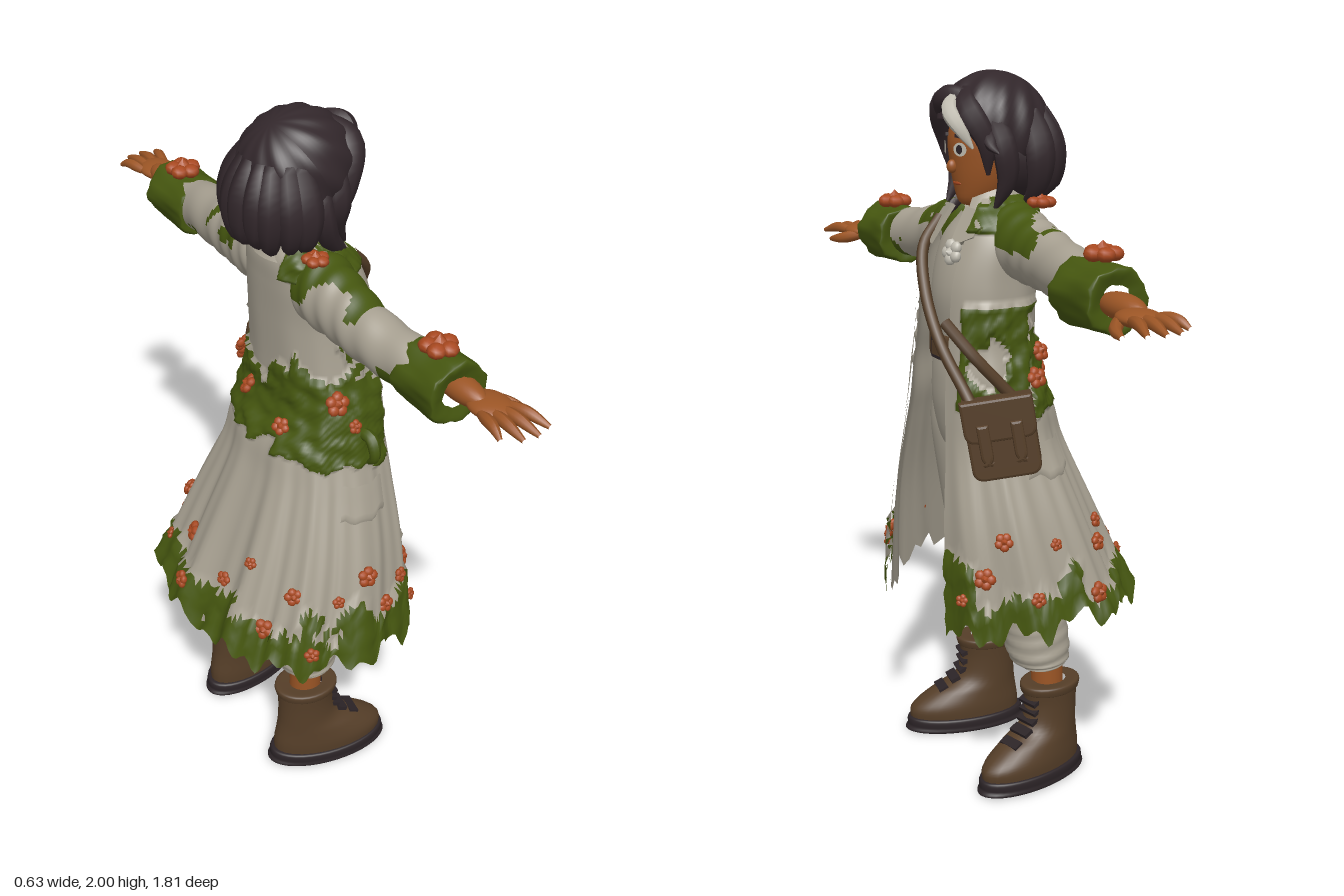
import * as THREE from 'three';

const mat = (name, color) => Object.assign(new THREE.MeshStandardMaterial({ color }), { name });
const V = (x, y, z) => new THREE.Vector3(x, y, z);
const wave = (p) => (Math.sin(p.x * 23 + 1.5 * Math.sin(p.y * 27)) + Math.sin(p.y * 31 + p.z * 19) + Math.sin(p.z * 37 - p.x * 17)) / 3
  + 0.25 * Math.sin(p.x * 71 + p.y * 53) * Math.sin(p.z * 67 - p.y * 47);

// Surface from a rule point(u, v); pick(p) chooses the material index of each face
function grid(nu, nv, closed, point, pick = () => 0, inward = false) {
  const pos = [], lists = [[], []], cols = closed ? nu : nu + 1;
  for (let j = 0; j <= nv; j++) for (let i = 0; i < cols; i++) pos.push(...point(i / nu, j / nv).toArray());
  const at = (k) => V(pos[k * 3], pos[k * 3 + 1], pos[k * 3 + 2]);
  for (let j = 0; j < nv; j++) for (let i = 0; i < nu; i++) {
    const a = j * cols + i, b = j * cols + (i + 1) % cols, c = b + cols, d = a + cols;
    lists[pick(at(a).add(at(c)).multiplyScalar(0.5))].push(...(inward ? [a, c, b, a, d, c] : [a, b, c, a, c, d]));
  }
  const g = new THREE.BufferGeometry();
  g.setAttribute('position', new THREE.Float32BufferAttribute(pos, 3));
  g.setIndex(lists.flat());
  g.addGroup(0, lists[0].length, 0);
  g.addGroup(lists[0].length, lists[1].length, 1);
  g.computeVertexNormals();
  return g;
}

// Smooth body through elliptical rings [x, y, z, a, b], in rising order along the axis
function limb(rows, axis = 'y', { n = 28, m = 28, pick, bump = () => 0 } = {}) {
  const c = new THREE.CatmullRomCurve3(rows.map((r) => V(r[0], r[1], r[2])), false, 'catmullrom');
  const s = new THREE.CatmullRomCurve3(rows.map((r) => V(r[3], r[4], 0)), false, 'catmullrom');
  return grid(n, m, true, (u, v) => {
    const p = c.getPoint(v), r = s.getPoint(v), t = u * Math.PI * 2, k = 1 + bump(t, v);
    const a = Math.max(0, r.x) * Math.sin(t) * k, b = Math.max(0, r.y) * Math.cos(t) * k;
    return axis === 'y' ? p.add(V(a, 0, b)) : p.add(V(0, -a, b));
  }, pick);
}

// Tapered tube for hair locks, fingers and vines
function strand(points, r, tip = 0.15, n = 8) {
  const curve = new THREE.CatmullRomCurve3(points.map((p) => V(...p)));
  const seg = 14, g = new THREE.TubeGeometry(curve, seg, 1, n), a = g.attributes.position;
  for (let i = 0; i < a.count; i++) {
    const t = Math.floor(i / (n + 1)) / seg, c = curve.getPointAt(t);
    const k = r * (tip + (1 - tip) * Math.sin(Math.PI * (0.18 + 0.82 * t)));
    const p = V().fromBufferAttribute(a, i).sub(c).multiplyScalar(k).add(c);
    a.setXYZ(i, p.x, p.y, p.z);
  }
  g.computeVertexNormals();
  return g;
}

// Coat rings: y, centre x, half width, centre z, half depth, half opening
const coatRows = [[0.55, -0.10, 0.395, 0, 0.305, 0.17], [0.8, -0.10, 0.33, 0.05, 0.25, 0.15], [1.0, -0.10, 0.26, 0.08, 0.2, 0.13],
  [1.1, -0.09, 0.235, 0.09, 0.18, 0.11], [1.2, -0.085, 0.222, 0.11, 0.15, 0.1], [1.3, -0.08, 0.195, 0.11, 0.145, 0.1],
  [1.45, -0.07, 0.18, 0.105, 0.145, 0.1], [1.56, -0.07, 0.175, 0.085, 0.13, 0.1], [1.63, -0.065, 0.14, 0.065, 0.11, 0.085], [1.68, -0.065, 0.075, 0.06, 0.08, 0.06]];
const coatA = new THREE.CatmullRomCurve3(coatRows.map((r) => V(r[0], r[1], r[2])), false, 'catmullrom');
const coatB = new THREE.CatmullRomCurve3(coatRows.map((r) => V(r[3], r[4], r[5])), false, 'catmullrom');

function mossOnCoat(p) {
  const n = wave(p), back = p.z < 0.05;
  if (p.y < 0.65 + 0.11 * n) return 1;
  if (p.x < -0.17 && p.y > 1.08 + 0.03 * n && p.y < 1.36 + 0.08 * n && p.z < 0.19) return 1;
  if (back && p.y > 1.1 + 0.04 * n && p.y < 1.28 + 0.07 * n) return 1;
  if (p.x > 0.06 && p.y > 1.12 && p.y < 1.4 && n > -0.1) return 1;
  return p.y > 1.59 && Math.abs(p.x + 0.065) > 0.07 && n > -0.2 ? 1 : 0;
}
function coatPoint(u, v, off = 0, thick = true) {
  const A = coatA.getPoint(v), B = coatB.getPoint(v), low = 1 - v;
  const a0 = Math.asin(Math.pow(Math.min(1, B.z / A.z), 1 / 0.85));
  const t = a0 + (2 * Math.PI - 2 * a0) * u, s = Math.sin(t), c = Math.cos(t);
  const sq = (q) => Math.sign(q) * Math.pow(Math.abs(q), 0.85);
  const fold = 1 + 0.035 * Math.sin(t * 11) * low * low;
  const hem = (-0.06 * Math.max(0, c) + 0.022 * Math.sin(t * 13) + 0.02 * Math.sin(t * 31 + 1)) * Math.pow(low, 6);
  const at = (o) => V(A.y + (A.z * fold + o) * sq(s), A.x + hem, B.x + (B.y * fold + o) * sq(c));
  const p = at(off);
  return thick && mossOnCoat(p) ? at(off + 0.01 + 0.006 * wave(p.clone().multiplyScalar(3))) : p;
}

export function createModel() {
  const coat = mat('linen', 0xa69f90), moss = mat('moss', 0x45560f), skin = mat('skin', 0x9b5525), hair = mat('hair', 0x32272b);
  const leather = mat('leather', 0x553e28), sole = mat('sole', 0x2c2427), bloom = mat('blossom', 0xa8481f), pale = mat('pale', 0xc2beb2);
  const figure = new THREE.Group();
  const add = (name, geo, m, parent = figure) => {
    const o = new THREE.Mesh(geo, m);
    o.name = name;
    parent.add(o);
    return o;
  };
  const ball = (name, m, p, s, parent) => {
    const o = add(name, new THREE.SphereGeometry(1, 24, 16), m, parent);
    o.position.set(...p); o.scale.set(...s);
    return o;
  };

  // Open coat with lining, pockets and collar
  add('coat', grid(170, 110, false, (u, v) => coatPoint(u, v), mossOnCoat), [coat, moss]);
  add('coatLining', grid(80, 50, false, (u, v) => coatPoint(u, v, -0.008, false), undefined, true), coat);
  for (const u of [0.2, 0.74]) add('pocket', grid(10, 10, false, (a, b) =>
    coatPoint(u + a * 0.1, 0.18 + 0.07 * b, 0.014 * Math.min(1, 5 * b * (1.1 - b) + 0.5), false)), coat);
  const collarMat = coat;
  add('collar', grid(30, 6, false, (u, v) => {
    const t = 0.45 + u * (2 * Math.PI - 0.9), r = 0.115 - 0.045 * v;
    return V(-0.065 + r * Math.sin(t), 1.63 + 0.075 * v, 0.06 + r * Math.cos(t));
  }), collarMat);
  for (const s of [-1, 1]) {
    const tri = new THREE.Shape([[0, 0], [0.07, 0.005], [0.085, -0.07], [0.02, -0.12]].map((q) => new THREE.Vector2(...q)));
    if (s < 0) tri.curves.length = 0, tri.setFromPoints([[0, 0], [-0.02, -0.12], [-0.085, -0.07], [-0.07, 0.005]].map((q) => new THREE.Vector2(...q)));
    const l = add('lapel', new THREE.ExtrudeGeometry(tri, { depth: 0.012, bevelEnabled: false }), coat);
    l.position.set(-0.067 + s * 0.035, 1.645, 0.15);
    l.rotation.set(-0.6, s * 0.25, 0);
  }

  // Sleeves with mossy cuffs
  const mossOnSleeve = (p) => (p.y > 1.555 && Math.abs(p.x + 0.06) < 0.34 && wave(p) > -0.15) || (p.y < 1.5 && Math.abs(p.x + 0.07) > 0.42 && wave(p) > 0.2) ? 1 : 0;
  const crease = (t, v) => 0.03 * Math.sin(v * 40 + 2 * Math.sin(t));
  const pickSleeve = { n: 40, m: 60, pick: mossOnSleeve, bump: crease };
  add('rightSleeve', limb([[-0.6, 1.5, 0.085, 0.07, 0.065], [-0.42, 1.525, 0.055, 0.076, 0.068], [-0.3, 1.55, 0.05, 0.09, 0.075], [-0.2, 1.565, 0.05, 0.1, 0.085], [-0.12, 1.565, 0.06, 0.08, 0.07]], 'x', pickSleeve), [coat, moss]);
  add('leftSleeve', limb([[-0.01, 1.565, 0.06, 0.08, 0.07], [0.07, 1.565, 0.055, 0.1, 0.085], [0.17, 1.55, 0.06, 0.09, 0.075], [0.29, 1.535, 0.07, 0.08, 0.07], [0.52, 1.505, 0.1, 0.07, 0.065]], 'x', pickSleeve), [coat, moss]);
  const shag = { bump: (t, v) => 0.05 * Math.sin(5 * t + 7 * v) + 0.03 * Math.sin(11 * t - 9 * v) };
  for (const [x0, x1, z] of [[-0.69, -0.535, 0.092], [0.44, 0.62, 0.1]]) {
    const row = (k, a) => [x0 + (x1 - x0) * k, 1.5, z, a, a * 1.05];
    add('cuff', limb([row(0.06, 0.04), row(0, 0.075), row(0.1, 0.083), row(0.5, 0.08), row(0.9, 0.083), row(1, 0.075), row(0.94, 0.04)], 'x', shag), moss);
  }

  // Hands, palm down with thumb forward
  for (const s of [-1, 1]) {
    const hand = new THREE.Group();
    hand.name = s < 0 ? 'rightHand' : 'leftHand';
    hand.position.set(s * 0.74, 1.49, 0.125);
    figure.add(hand);
    ball('palm', skin, [s * 0.015, 0, 0.008], [0.065, 0.022, 0.053], hand);
    ball('wrist', skin, [s * -0.075, 0.008, -0.008], [0.09, 0.034, 0.037], hand);
    for (let i = 0; i < 4; i++) {
      const z = -0.034 + i * 0.025, len = [0.125, 0.157, 0.162, 0.148][i];
      add('finger', strand([[s * 0.03, 0, z], [s * 0.09, 0.003, z * 1.4], [s * len, -0.012, z * 1.75 + 0.004]], 0.0155, 0.4), skin, hand);
    }
    add('thumb', strand([[s * -0.03, -0.004, 0.025], [s * 0.02, -0.02, 0.075], [s * 0.07, -0.028, 0.09]], 0.017, 0.4), skin, hand);
  }

  // Shirt, trousers and belt
  add('shirt', limb([[-0.08, 1.15, 0.1, 0.14, 0.11], [-0.08, 1.28, 0.1, 0.135, 0.11], [-0.07, 1.42, 0.1, 0.145, 0.125], [-0.07, 1.55, 0.085, 0.13, 0.11], [-0.067, 1.63, 0.065, 0.08, 0.075]]), coat);
  add('hips', limb([[-0.083, 0.93, 0.08, 0.02, 0.02], [-0.083, 0.97, 0.08, 0.12, 0.105], [-0.083, 1.08, 0.09, 0.158, 0.125], [-0.083, 1.18, 0.1, 0.148, 0.12], [-0.083, 1.26, 0.1, 0.138, 0.113]]), coat);
  add('belt', limb([[-0.08, 1.232, 0.1, 0.13, 0.1], [-0.08, 1.234, 0.1, 0.148, 0.125], [-0.08, 1.295, 0.1, 0.148, 0.125], [-0.08, 1.297, 0.1, 0.13, 0.1]], 'y', { n: 40 }), leather);
  for (const [w, h, z, m] of [[0.062, 0.058, 0.225, sole], [0.042, 0.038, 0.229, leather]])
    add('buckle', new THREE.BoxGeometry(w, h, 0.01), m).position.set(-0.075, 1.264, z);

  for (const s of [-1, 1]) {
    const X = (x) => -0.085 + s * x;
    const legRows = [[0.18, 0.335, -0.01, 0.055, 0.06], [0.16, 0.36, -0.01, 0.084, 0.088], [0.146, 0.43, -0.005, 0.09, 0.097], [0.135, 0.5, 0.005, 0.088, 0.1], [0.12, 0.65, 0.03, 0.084, 0.095], [0.1, 0.82, 0.055, 0.09, 0.105], [0.082, 1.0, 0.08, 0.088, 0.115], [0.075, 1.1, 0.09, 0.075, 0.11]];
    add('trouserLeg', limb(legRows.map(([x, ...r]) => [X(x), ...r]), 'y', { m: 50, bump: (t, v) => 0.045 * Math.max(0, 1 - 2.2 * v) * Math.sin(v * 75 + 1.5 * Math.sin(t * 2)) }), coat);
    add('ankle', new THREE.CylinderGeometry(0.046, 0.046, 0.12, 20), skin).position.set(X(0.18), 0.31, -0.025);

    // Boots
    const boot = new THREE.Group();
    boot.name = s < 0 ? 'rightBoot' : 'leftBoot';
    boot.position.set(X(0.195), 0, 0);
    boot.rotation.y = s * 0.2;
    figure.add(boot);
    add('bootUpper', limb([[0, 0.03, 0.045, 0.078, 0.172], [0, 0.075, 0.043, 0.08, 0.17], [0, 0.12, 0.015, 0.074, 0.135], [0, 0.16, -0.02, 0.067, 0.095], [0, 0.22, -0.03, 0.065, 0.084], [0, 0.285, -0.03, 0.068, 0.088]]), leather, boot);
    add('bootTop', limb([[0, 0.262, -0.03, 0.065, 0.085], [0, 0.265, -0.03, 0.072, 0.092], [0, 0.288, -0.03, 0.072, 0.092], [0, 0.289, -0.03, 0.04, 0.05]]), leather, boot);
    add('bootSole', limb([[0, 0, 0.043, 0.001, 0.001], [0, 0.001, 0.043, 0.08, 0.175], [0, 0.02, 0.043, 0.087, 0.183], [0, 0.042, 0.043, 0.086, 0.181], [0, 0.046, 0.043, 0.07, 0.16]], 'y', { n: 40 }), sole, boot);
    for (let i = 0; i < 5; i++) {
      const lace = add('lace', new THREE.BoxGeometry(0.066, 0.012, 0.03), sole, boot);
      lace.position.set(0, 0.13 + i * 0.028, [0.118, 0.08, 0.054, 0.045, 0.046][i]);
      lace.rotation.x = 0.4;
    }
  }

  // Head and face
  add('neck', limb([[-0.067, 1.53, 0.125, 0.045, 0.07], [-0.067, 1.6, 0.09, 0.055, 0.068], [-0.067, 1.66, 0.06, 0.046, 0.05], [-0.067, 1.74, 0.06, 0.045, 0.05]]), skin);
  add('head', limb([[-0.067, 1.645, 0.1, 0, 0], [-0.067, 1.655, 0.1, 0.04, 0.05], [-0.067, 1.7, 0.08, 0.075, 0.085], [-0.067, 1.77, 0.07, 0.096, 0.105], [-0.067, 1.84, 0.065, 0.1, 0.112], [-0.067, 1.92, 0.06, 0.07, 0.08], [-0.067, 1.95, 0.06, 0, 0]]), skin);
  ball('nose', skin, [-0.067, 1.755, 0.178], [0.013, 0.018, 0.015]);
  ball('mouth', bloom, [-0.067, 1.71, 0.163], [0.022, 0.006, 0.006]);
  for (const s of [-1, 1]) {
    ball('ear', skin, [-0.067 + s * 0.1, 1.77, 0.055], [0.014, 0.032, 0.02]);
    for (const [name, r, d, m] of [['eyeWhite', 0.018, 0, pale], ['iris', 0.012, 0.003, sole]]) {
      const eye = add(name, new THREE.CircleGeometry(r, 18), m);
      eye.position.set(-0.067 + s * (0.042 + d * 0.3), 1.802, 0.176 + d);
      eye.rotation.y = s * 0.38;
      eye.scale.x = name === 'iris' ? 0.9 : 1.25;
    }
    const brow = add('brow', new THREE.BoxGeometry(0.04, 0.009, 0.008), hair);
    brow.position.set(-0.067 + s * 0.043, 1.835, 0.172);
    brow.rotation.set(0, s * 0.35, s * -0.12);
  }

  // Hair: ridged cap, full back and loose locks
  const cap = new THREE.SphereGeometry(1, 72, 30, 0, Math.PI * 2, 0, Math.PI * 0.6), cp = cap.attributes.position;
  for (let i = 0; i < cp.count; i++) {
    const p = V().fromBufferAttribute(cp, i), a = Math.atan2(p.x, p.z);
    p.multiplyScalar(1 + 0.03 * Math.sin(12 * a + 4 * p.y) * (1 - p.y * p.y));
    cp.setXYZ(i, p.x, p.y, p.z);
  }
  cap.computeVertexNormals();
  const top = add('hairCap', cap, hair);
  top.position.set(-0.063, 1.85, 0.052);
  top.scale.set(0.145, 0.15, 0.155);
  top.rotation.x = -0.5;
  ball('hairBack', hair, [-0.063, 1.79, -0.005], [0.142, 0.13, 0.1]);
  for (let i = 0; i < 9; i++) {
    const a = Math.PI * (0.6 + 0.8 * i / 8) + (i % 2) * 0.05, s = Math.sin(a), c = Math.cos(a), low = 1.655 + 0.018 * (i % 3);
    add('backLock', strand([[-0.063 + 0.1 * s, 1.9, 0.03 + 0.1 * c], [-0.063 + 0.15 * s, 1.79, 0.035 + 0.135 * c], [-0.063 + 0.135 * s, 1.7, 0.04 + 0.14 * c], [-0.063 + 0.09 * s, low, 0.04 + 0.1 * c]], 0.042), hair);
  }
  for (const [pts, r] of [
    [[[-0.06, 1.95, 0.14], [-0.13, 1.91, 0.17], [-0.17, 1.82, 0.14], [-0.165, 1.73, 0.13]], 0.036],
    [[[-0.15, 1.88, 0.11], [-0.185, 1.8, 0.1], [-0.165, 1.72, 0.11], [-0.15, 1.65, 0.15]], 0.034],
    [[[-0.17, 1.84, 0.06], [-0.195, 1.77, 0.05], [-0.18, 1.69, 0.08], [-0.15, 1.6, 0.17]], 0.03],
    [[[-0.05, 1.95, 0.14], [0.01, 1.91, 0.17], [0.05, 1.83, 0.14], [0.045, 1.74, 0.13]], 0.034],
    [[[0.03, 1.89, 0.11], [0.075, 1.82, 0.1], [0.075, 1.73, 0.09], [0.045, 1.65, 0.11]], 0.034],
    [[[0.04, 1.86, 0.13], [0.08, 1.82, 0.14], [0.105, 1.8, 0.13]], 0.018],
    [[[-0.02, 1.94, 0.16], [-0.08, 1.93, 0.19], [-0.13, 1.88, 0.18]], 0.032]]) add('hairLock', strand(pts, r), hair);
  add('paleStreak', strand([[-0.045, 1.94, 0.18], [-0.01, 1.905, 0.212], [0.025, 1.86, 0.2], [0.045, 1.81, 0.175]], 0.023), pale);

  // Satchel with straps
  const bag = new THREE.Group();
  bag.name = 'satchel';
  bag.position.set(0.185, 1.07, 0.17);
  bag.rotation.set(0, 1.05, 0.16);
  figure.add(bag);
  const panel = (name, w, h, d, p, m = leather) => {
    const q = new THREE.Shape(), r = 0.025;
    q.moveTo(-w / 2, h / 2).lineTo(-w / 2, -h / 2 + r).quadraticCurveTo(-w / 2, -h / 2, -w / 2 + r, -h / 2);
    q.lineTo(w / 2 - r, -h / 2).quadraticCurveTo(w / 2, -h / 2, w / 2, -h / 2 + r).lineTo(w / 2, h / 2);
    add(name, new THREE.ExtrudeGeometry(q, { depth: d, bevelSize: 0.008, bevelThickness: 0.008, bevelSegments: 2 }), m, bag).position.set(...p);
  };
  panel('bagBody', 0.17, 0.2, 0.06, [0, 0, -0.03]);
  panel('bagFlap', 0.178, 0.1, 0.014, [0, 0.06, 0.035]);
  for (const x of [-0.045, 0.045]) panel('bagStrap', 0.018, 0.1, 0.006, [x, -0.005, 0.05]);
  const strap = (pts) => add('shoulderStrap', new THREE.TubeGeometry(new THREE.CatmullRomCurve3(pts.map((p) => V(...p))), 30, 0.016, 8), leather);
  strap([[-0.155, 1.61, 0.17], [-0.13, 1.54, 0.235], [-0.06, 1.43, 0.268], [0.03, 1.3, 0.27], [0.11, 1.18, 0.24], [0.16, 1.12, 0.23]]);
  strap([[0.04, 1.36, 0.262], [0.12, 1.28, 0.22], [0.165, 1.17, 0.13]]);

  // Blossoms: five petals round a raised heart
  const blossom = (p, out, r, m = bloom) => {
    const f = new THREE.Group();
    f.name = 'blossom';
    f.position.copy(p);
    f.quaternion.setFromUnitVectors(V(0, 1, 0), out.normalize());
    for (let i = 0; i < 5; i++) {
      const a = i * Math.PI * 0.4, petal = add('petal', new THREE.SphereGeometry(1, 8, 6), m, f);
      petal.position.set(Math.sin(a) * r * 0.55, 0, Math.cos(a) * r * 0.55);
      petal.scale.set(r * 0.5, r * 0.38, r * 0.5);
    }
    add('heart', new THREE.ConeGeometry(r * 0.5, r * 0.5, 6), m, f).position.y = r * 0.4;
    figure.add(f);
  };
  for (const [x, y, z, r] of [[-0.61, 1.595, 0.09, 0.05], [0.52, 1.6, 0.08, 0.05], [-0.22, 1.67, 0.01, 0.036], [0.08, 1.665, -0.01, 0.04]]) blossom(V(x, y, z), V(0, 1, 0), r);
  const spots = [[0.28, 0.45, 0.03], [0.33, 0.52, 0.028], [0.72, 0.52, 0.034], [0.76, 0.44, 0.02], [0.45, 0.45, 0.03], [0.56, 0.41, 0.025]];
  for (let i = 0; i < 22; i++) spots.push([0.04 + 0.92 * i / 21, 0.03 + 0.075 * ((i * 7) % 5) / 4, 0.018 + 0.012 * ((i * 3) % 4) / 3]);
  for (const [u, v, r] of spots) {
    const p = coatPoint(u, v, 0.008);
    blossom(p, V(p.x + 0.09, 0.1, p.z - 0.06), r);
  }
  blossom(V(0.035, 1.545, 0.235), V(0.2, 0.2, 1), 0.035, pale);
  add('vine', strand([[-0.3, 1.16, 0.1], [-0.35, 1.16, 0.11], [-0.37, 1.11, 0.11], [-0.345, 1.08, 0.11]], 0.018, 0.4), moss);

  // The figure faces along +x
  figure.name = 'wanderer';
  figure.rotation.y = Math.PI / 2;
  const model = new THREE.Group();
  model.add(figure);
  return model;
}
